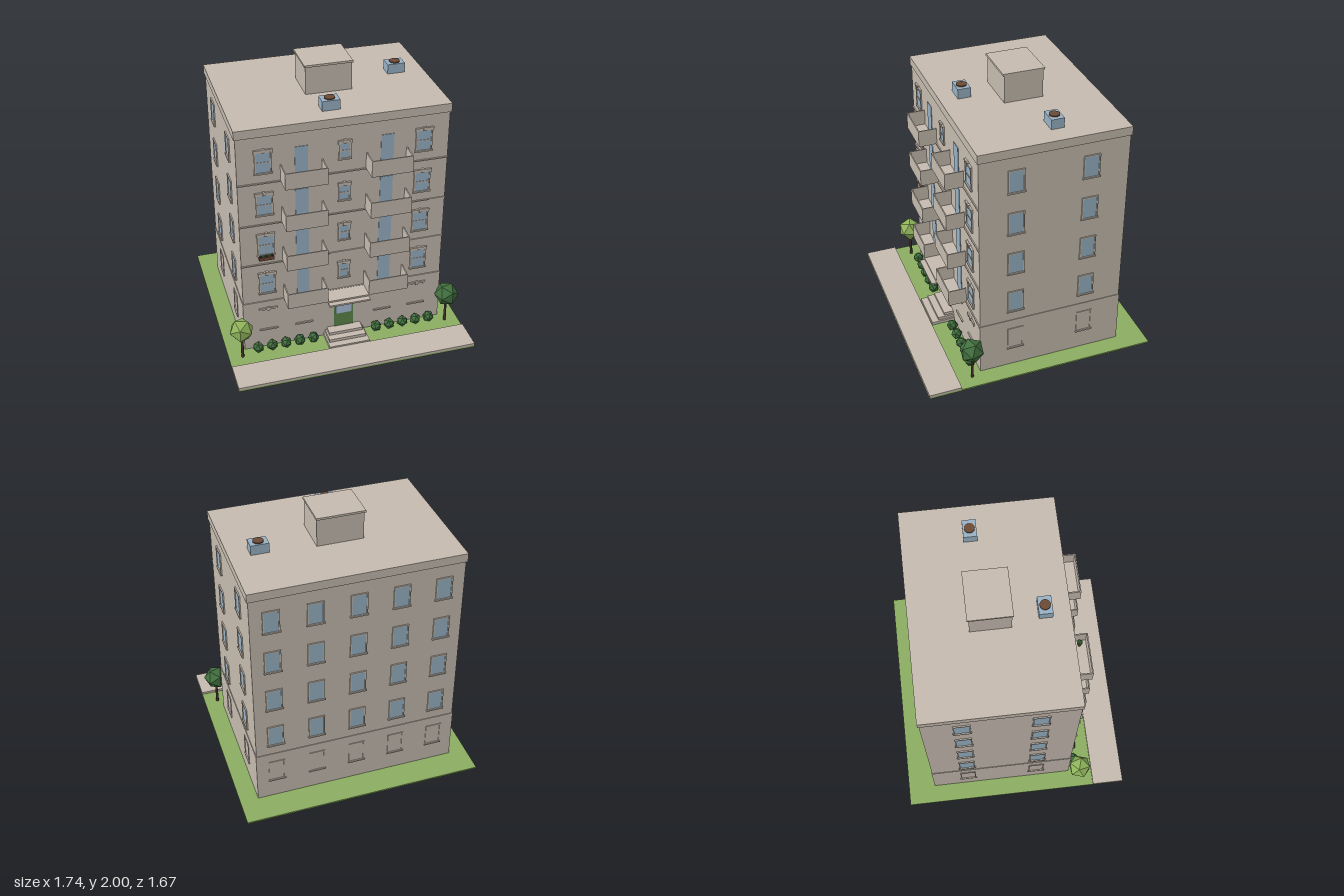
import * as THREE from 'three';

const mat = (name, color, flatShading = false) => {
  const m = new THREE.MeshStandardMaterial({ color, flatShading });
  m.name = name;
  return m;
};

export function createModel() {
  const M = {
    stone: mat('stone', 0xc4baae),
    glass: mat('glass', 0x98b1c4),
    doorGlass: mat('doorGlass', 0xa8c0d8),
    grass: mat('grass', 0x8bac62),
    door: mat('doorGreen', 0x588548),
    leafLight: mat('lightLeaf', 0x8fb35a, true),
    leafDark: mat('darkLeaf', 0x42703f, true),
    trunk: mat('bark', 0x43302a),
    brown: mat('brown', 0x6b4a35),
  };
  const root = new THREE.Group();
  root.name = 'apartmentBuilding';

  const add = (parent, name, geo, m, x, y, z) => {
    const mesh = new THREE.Mesh(geo, m);
    mesh.name = name;
    mesh.position.set(x, y, z);
    parent.add(mesh);
    return mesh;
  };
  // Box given by its extents on each axis
  const box = (parent, name, m, x0, x1, y0, y1, z0, z1) =>
    add(parent, name, new THREE.BoxGeometry(x1 - x0, y1 - y0, z1 - z0), m,
      (x0 + x1) / 2, (y0 + y1) / 2, (z0 + z1) / 2);
  const group = (name, x = 0, y = 0, z = 0, turn = 0, parent = root) => {
    const g = new THREE.Group();
    g.name = name;
    g.position.set(x, y, z);
    g.rotation.y = turn;
    parent.add(g);
    return g;
  };

  const W = 0.733, F = 0.417, B = -0.627, STEP = 0.3225;
  const floors = [0, 1, 2, 3].map(i => 0.49 + i * STEP); // window bottoms

  // Site
  box(root, 'lawn', M.grass, -0.868, 0.868, 0, 0.012, -0.833, 0.833);
  box(root, 'pavement', M.stone, -0.868, 0.868, 0.012, 0.03, 0.6, 0.833);

  // Building body
  box(root, 'walls', M.stone, -W, W, 0.012, 1.725, B, F);
  box(root, 'groundStorey', M.stone, -W - 0.004, W + 0.004, 0.012, 0.41, B - 0.004, F + 0.003);
  box(root, 'cornice', M.stone, -W - 0.009, W + 0.009, 1.722, 1.785, B - 0.008, F + 0.008);
  floors.forEach(y => box(root, 'floorBand', M.stone, -W - 0.004, W + 0.004, y - 0.085, y - 0.076, F, F + 0.008));

  // Stairhead on the roof
  box(root, 'stairhead', M.stone, -0.163, 0.163, 1.785, 1.985, -0.245, 0.032);
  box(root, 'stairheadCap', M.stone, -0.172, 0.168, 1.985, 2, -0.255, 0.042);

  // Cooling units with round fans
  for (const [x, z] of [[-0.06, 0.257], [0.537, -0.17]]) {
    const g = group('coolingUnit', x, 1.785, z);
    box(g, 'unitBody', M.glass, -0.063, 0.063, 0, 0.07, -0.046, 0.046);
    add(g, 'fan', new THREE.CylinderGeometry(0.036, 0.036, 0.008, 20), M.brown, 0, 0.074, 0);
  }

  // Window facing local +z, origin at bottom centre of the pane
  function makeWindow(g, w, h, pane, { rail = false, hood = false } = {}) {
    const a = w / 2, t = 0.009;
    box(g, 'pane', pane, -a, a, 0, h, 0, 0.004);
    for (const s of [-1, 1]) {
      const c = s * (a + t / 2);
      box(g, 'jamb', M.stone, c - t / 2, c + t / 2, 0, h, 0, 0.009);
    }
    box(g, 'head', M.stone, -a - t, a + t, h, h + t, 0, 0.009);
    box(g, 'sill', M.stone, -a - 0.014, a + 0.014, -0.011, 0, 0, 0.013);
    if (rail) box(g, 'rail', M.stone, -a, a, h * 0.5 - 0.004, h * 0.5 + 0.004, 0, 0.007);
    if (hood) makeHood(g, a + 0.015, h + t);
  }
  // Stepped lintel with a keystone and end brackets
  function makeHood(g, a, y) {
    box(g, 'hood', M.stone, -a, a, y, y + 0.014, 0, 0.013);
    box(g, 'keystone', M.stone, -0.011, 0.011, y - 0.006, y + 0.02, 0, 0.016);
    for (const s of [-1, 1])
      box(g, 'bracket', M.stone, s * (a - 0.008) - 0.007, s * (a - 0.008) + 0.007, y - 0.014, y, 0, 0.011);
  }

  // Side and back windows, blind on the ground storey
  const places = [];
  for (const z of [0.16, -0.36]) {
    places.push([W, z, Math.PI / 2], [-W, z, -Math.PI / 2]);
  }
  for (const x of [-0.59, -0.295, 0, 0.295, 0.59]) places.push([x, B, Math.PI]);
  for (const [x, z, turn] of places) {
    floors.forEach(y => makeWindow(group('window', x, y + 0.006, z, turn), 0.098, 0.155, M.glass));
    const blind = group('blindWindow', x, 0.168, z, turn);
    makeWindow(blind, 0.098, 0.16, M.stone);
  }

  // Front windows, balcony doors and balconies
  floors.forEach((y, i) => {
    for (const s of [-1, 1]) {
      makeWindow(group('frontWindow', s * 0.555, y, F), 0.1, 0.148, M.glass, { rail: true, hood: true });
      box(root, 'balconyDoor', M.glass, s * 0.297 - 0.045, s * 0.297 + 0.045, y - 0.075, y + 0.158, F, F + 0.004);
      const b = group('balcony', s * 0.295, y - 0.082, F);
      const a = 0.145, d = 0.13, t = 0.008, h = 0.122;
      box(b, 'balconyFloor', M.stone, -a, a, 0, 0.01, 0, d);
      box(b, 'balconyFront', M.stone, -a, a, 0.01, h, d - t, d);
      for (const e of [-1, 1])
        box(b, 'balconySide', M.stone, e * (a - t / 2) - t / 2, e * (a - t / 2) + t / 2, 0.01, h, 0, d - t);
    }
    makeWindow(group('middleWindow', 0, y + 0.025, F), 0.066, 0.112, M.glass, { rail: true, hood: true });
  });

  // Ground storey lintels and sills on the front
  for (const x of [-0.555, -0.295, 0.295, 0.555]) {
    const g = group('blindFrontWindow', x, 0.16, F);
    box(g, 'sill', M.stone, -0.066, 0.066, 0, 0.011, 0, 0.013);
    makeHood(g, 0.066, 0.181);
  }

  // Entrance
  const e = group('entrance', 0, 0, F);
  box(e, 'door', M.door, -0.072, 0.072, 0.08, 0.342, 0, 0.008);
  box(e, 'doorGlass', M.doorGlass, -0.06, 0.06, 0.195, 0.33, 0.008, 0.012);
  box(e, 'canopy', M.stone, -0.15, 0.15, 0.387, 0.4, 0, 0.168);
  box(e, 'canopyTop', M.stone, -0.157, 0.157, 0.4, 0.412, 0, 0.13);
  [[0.15, 0.035, 0.175], [0.138, 0.058, 0.125], [0.125, 0.08, 0.075]].forEach(([a, top, d]) =>
    box(e, 'step', M.stone, -a, a, 0.012, top, 0, d));

  // Trees
  for (const s of [-1, 1]) {
    const g = group('tree', s * 0.768, 0.012, 0.492);
    add(g, 'trunk', new THREE.CylinderGeometry(0.008, 0.011, 0.2, 8), M.trunk, 0, 0.1, 0);
    const crown = add(g, 'crown', new THREE.IcosahedronGeometry(0.089, 0), s < 0 ? M.leafLight : M.leafDark, 0, 0.24, 0);
    crown.rotation.y = s * 0.3;
  }

  // Hedge bushes and a small balcony plant
  const bush = (x, y, z, r) => {
    const m = add(root, 'bush', new THREE.IcosahedronGeometry(r, 0), M.leafDark, x, y, z);
    m.rotation.y = x * 3;
    return m;
  };
  for (const s of [-1, 1])
    for (let i = 0; i < 5; i++) bush(s * (0.238 + i * 0.102), 0.048, 0.465, 0.042);
  bush(-0.19, floors[3] - 0.02, 0.492, 0.022);
  add(root, 'plantPot', new THREE.CylinderGeometry(0.014, 0.011, 0.035, 10), M.brown, -0.19, floors[3] - 0.055, 0.492);

  // Window box
  const p = group('windowBox', -0.557, 0.777, F);
  box(p, 'trough', M.brown, -0.052, 0.052, 0, 0.026, 0.002, 0.03);
  for (let i = 0; i < 5; i++)
    add(p, 'flower', new THREE.IcosahedronGeometry(0.011, 0), i % 2 ? M.leafDark : M.trunk, -0.04 + i * 0.02, 0.03, 0.016);

  return root;
}
